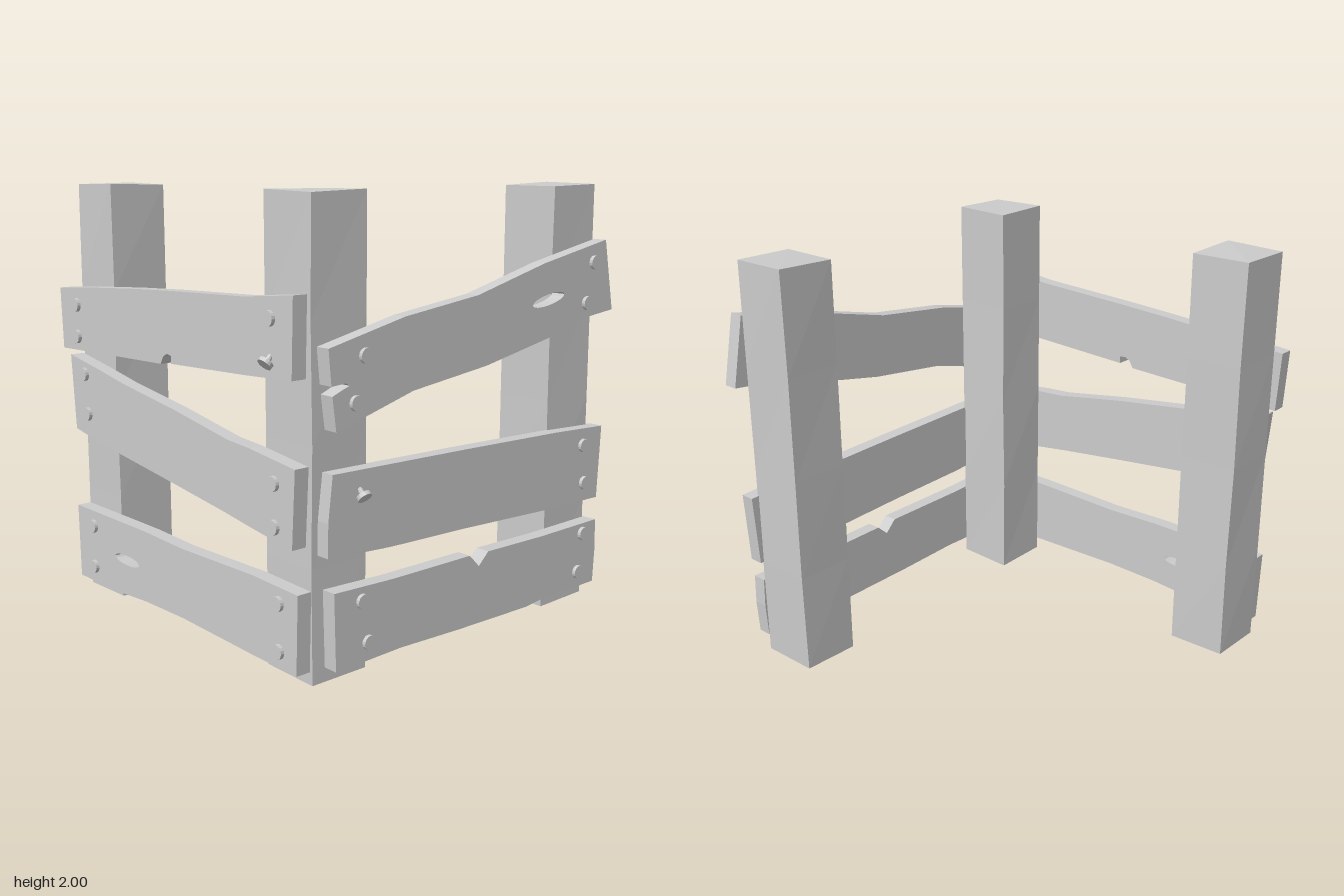
import * as THREE from 'three';

const material = new THREE.MeshStandardMaterial({ color: 0xcccccc, flatShading: true });

function addMesh(parent, name, geometry) {
  const mesh = new THREE.Mesh(geometry, material);
  mesh.name = name;
  parent.add(mesh);
  return mesh;
}

// Square post with slightly uneven, hand-cut ends
function addPost(parent, name, x, z, seed) {
  const geometry = new THREE.BoxGeometry(0.293, 2, 0.293, 1, 4, 1);
  const p = geometry.attributes.position;
  for (let i = 0; i < p.count; i++) {
    const sx = Math.sign(p.getX(i)), sz = Math.sign(p.getZ(i)), y = p.getY(i);
    const wobble = Math.sin(sx * 2.1 + sz * 3.7 + y * 5 + seed);
    if (Math.abs(y) > 0.99) p.setY(i, y - Math.sign(y) * 0.006 * (1 + wobble));
    p.setX(i, p.getX(i) - sx * 0.002 * (1 + wobble));
    p.setZ(i, p.getZ(i) - sz * 0.002 * (1 - wobble));
  }
  geometry.computeVertexNormals();
  addMesh(parent, name, geometry).position.set(x, 1, z);
}

// Pointed knot hole cut through a plank
function knotHole([cx, cy, rx, ry, angle]) {
  const points = [];
  for (let i = 0; i < 16; i++) {
    const t = (i / 16) * Math.PI * 2;
    points.push(new THREE.Vector2(rx * Math.cos(t), ry * Math.sin(t))
      .rotateAround(new THREE.Vector2(), angle).add(new THREE.Vector2(cx, cy)));
  }
  return new THREE.Path(points);
}

// Nail with a round head; a bent nail sticks out and leans over
function addNail(parent, x, y, z, bent) {
  const nail = new THREE.Group();
  nail.name = bent ? 'bentNail' : 'nail';
  nail.position.set(x, y, z);
  parent.add(nail);
  const shaft = addMesh(nail, 'nailShaft', new THREE.CylinderGeometry(0.012, 0.012, 0.11, 8));
  shaft.rotation.x = Math.PI / 2;
  shaft.position.z = -0.05;
  const top = new THREE.Group();
  top.name = 'nailTop';
  nail.add(top);
  const head = addMesh(top, 'nailHead', new THREE.CylinderGeometry(0.032, 0.032, 0.018, 16));
  head.rotation.x = Math.PI / 2;
  head.position.z = bent ? 0.034 : 0.008;
  if (bent) {
    const neck = addMesh(top, 'nailNeck', new THREE.CylinderGeometry(0.012, 0.012, 0.04, 8));
    neck.rotation.x = Math.PI / 2;
    neck.position.z = 0.015;
    top.rotation.x = 0.75;
  }
}

// Rough plank: outline extruded to its thickness, with nails on the outer face
function addPlank(parent, name, { outline, hole, back, nails, bent }) {
  const depth = 0.07;
  const shape = new THREE.Shape(outline.map(([x, y]) => new THREE.Vector2(x, y)));
  if (hole) shape.holes.push(knotHole(hole));
  const group = new THREE.Group();
  group.name = name;
  parent.add(group);
  const board = new THREE.ExtrudeGeometry(shape, { depth, bevelEnabled: false });
  addMesh(group, 'board', board).position.z = back;
  nails.forEach(([x, y], i) => addNail(group, x, y, back + depth, i === bent));
}

const frontPlanks = {
  upperPlank: {
    back: 0.815, hole: [0.505, 1.49, 0.11, 0.025, 0.17],
    outline: [[-0.8, 1.4], [-0.785, 1.25], [-0.71, 1.255], [-0.69, 1.243], [-0.73, 1.23], [-0.78, 1.21],
      [-0.76, 1.065], [-0.34, 1.18], [0.1, 1.235], [0.53, 1.32], [0.75, 1.385], [0.97, 1.41],
      [0.905, 1.74], [0.47, 1.655], [0.04, 1.545], [-0.39, 1.49]],
    nails: [[-0.61, 1.355], [-0.66, 1.17], [0.82, 1.64], [0.775, 1.455]],
  },
  middlePlank: {
    back: 0.805, bent: 0,
    outline: [[-0.77, 0.895], [-0.793, 0.7], [-0.795, 0.555], [-0.45, 0.535], [0, 0.525], [0.55, 0.505],
      [0.92, 0.5], [0.94, 0.85], [0.6, 0.865], [0, 0.88]],
    nails: [[-0.625, 0.81], [0.8, 0.775], [0.815, 0.59]],
  },
  lowerPlank: {
    back: 0.82,
    outline: [[-0.775, 0.41], [-0.765, 0.075], [-0.4, 0.085], [-0.05, 0.075], [0.4, 0.07], [0.5, 0.08],
      [0.895, 0.085], [0.905, 0.25], [0.9, 0.395], [0.5, 0.39], [0.135, 0.395], [0.075, 0.34],
      [0.015, 0.4], [-0.45, 0.4]],
    nails: [[-0.625, 0.345], [-0.59, 0.16], [0.8, 0.345], [0.77, 0.16]],
  },
};

// Side outlines run along z, from back to front
const sidePlanks = {
  upperPlank: {
    back: 0.86, bent: 1,
    outline: [[-0.935, 1.5], [-0.92, 1.21], [-0.61, 1.22], [-0.08, 1.235], [-0.06, 1.27], [-0.03, 1.285],
      [0, 1.28], [0, 1.245], [0.52, 1.265], [0.82, 1.28], [0.83, 1.61], [0.52, 1.58], [0, 1.56],
      [-0.3, 1.545], [-0.61, 1.525]],
    nails: [[0.69, 1.51], [0.69, 1.36], [-0.78, 1.43], [-0.78, 1.28]],
  },
  middlePlank: {
    back: 0.847,
    outline: [[-0.88, 1.18], [-0.85, 0.82], [-0.61, 0.78], [0, 0.705], [0.35, 0.66], [0.52, 0.635],
      [0.8, 0.597], [0.82, 0.93], [0.52, 0.965], [0.38, 0.975], [0, 1.04], [-0.42, 1.1], [-0.61, 1.135]],
    nails: [[0.69, 0.85], [0.69, 0.67], [-0.75, 1.1], [-0.73, 0.91]],
  },
  lowerPlank: {
    back: 0.828, hole: [-0.46, 0.24, 0.105, 0.024, 0],
    outline: [[-0.9, 0.42], [-0.89, 0.06], [-0.6, 0.06], [-0.3, 0.08], [0, 0.085], [0.5, 0.07],
      [0.8, 0.065], [0.81, 0.41], [0.52, 0.42], [0, 0.41], [-0.3, 0.42]],
    nails: [[0.69, 0.345], [0.69, 0.14], [-0.75, 0.345], [-0.75, 0.14]],
  },
};

export function createModel() {
  const model = new THREE.Group();
  model.name = 'cornerFence';

  addPost(model, 'cornerPost', -0.68, 0.667, 0);
  addPost(model, 'leftPost', 0.755, 0.667, 1.7);
  addPost(model, 'backPost', -0.68, -0.765, 3.1);

  const front = new THREE.Group();
  front.name = 'frontPlanks';
  const side = new THREE.Group();
  side.name = 'sidePlanks';
  side.rotation.y = -Math.PI / 2;
  model.add(front, side);

  for (const [name, plank] of Object.entries(frontPlanks)) addPlank(front, name, plank);
  for (const [name, plank] of Object.entries(sidePlanks)) addPlank(side, name, plank);
  return model;
}
